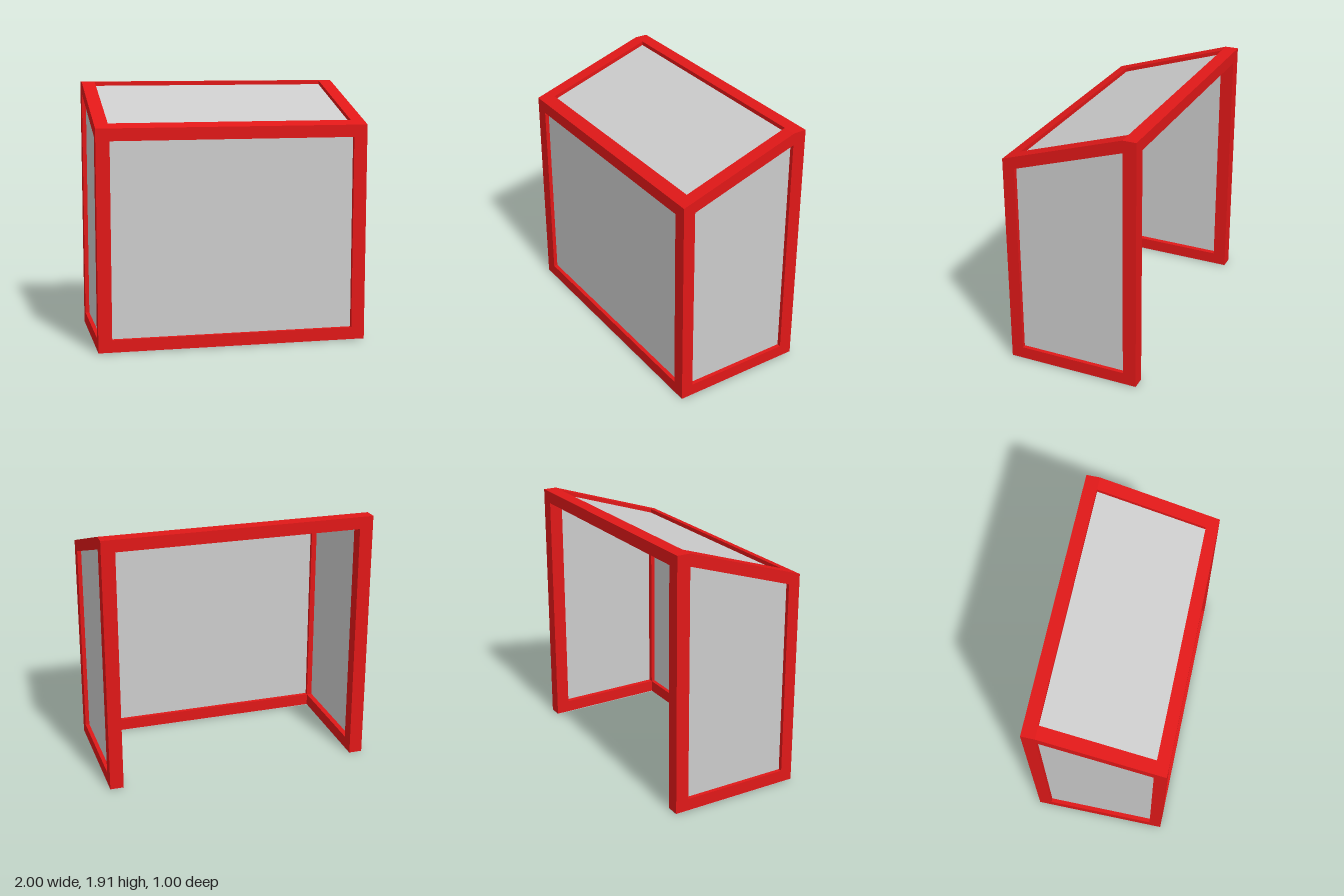
import * as THREE from 'three';

const red = new THREE.MeshStandardMaterial({ color: 0xe01818 });
const grey = new THREE.MeshStandardMaterial({ color: 0xcccccc });

// Extrudes a (z, y) outline from x0 to x1
function extrudeAcross(name, outline, x0, x1, material, hole) {
  const toPoints = (list) => list.map(([z, y]) => new THREE.Vector2(z, y));
  const shape = new THREE.Shape(toPoints(outline));
  if (hole) shape.holes.push(new THREE.Path(toPoints(hole)));
  const geometry = new THREE.ExtrudeGeometry(shape, { depth: x1 - x0, bevelEnabled: false });
  geometry.rotateY(-Math.PI / 2).translate(x1, 0, 0);
  const mesh = new THREE.Mesh(geometry, material);
  mesh.name = name;
  return mesh;
}

export function createModel() {
  const group = new THREE.Group();
  group.name = 'shelter';

  const inner = 0.9;            // inside face of the side frames
  const front = 0.5, back = -0.5;
  const railFront = 0.41, railBack = -0.4;
  const sole = 0.004;           // thin grey underside
  const sill = 0.095, beam = 0.09;
  const recess = 0.03, glass = 0.03;
  const roofY = (z) => 1.615 + (front - z) * (1.91 - 1.615) / (front - railBack);

  // Side frames with sloping tops, their panels and undersides
  const frame = [[back, sole], [front, sole], [front, roofY(front)], [railBack, 1.91], [back, 1.91]];
  const opening = [
    [railBack, sill], [railFront, sill],
    [railFront, roofY(railFront) - beam], [railBack, roofY(railBack) - beam],
  ];
  const foot = [[back, 0], [front, 0], [front, sole], [back, sole]];
  for (const [side, sign] of [['left', 1], ['right', -1]]) {
    const add = (name, outline, a, b, material, hole) => group.add(extrudeAcross(
      side + name, outline, Math.min(a * sign, b * sign), Math.max(a * sign, b * sign), material, hole));
    add('SideFrame', frame, inner, 1, red, opening);
    add('SidePanel', opening, 1 - recess - glass, 1 - recess, grey);
    add('Underside', foot, inner, 1, grey);
  }

  // Cross rails between the side frames
  const rails = {
    frontBottomRail: [[railFront, sole], [front, sole], [front, sill], [railFront, sill]],
    frontTopRail: [
      [railFront, roofY(railFront) - beam], [front, roofY(front) - beam],
      [front, roofY(front)], [railFront, roofY(railFront)],
    ],
    backTopRail: [[back, 1.91 - beam], [railBack, 1.91 - beam], [railBack, 1.91], [back, 1.91]],
  };
  for (const [name, outline] of Object.entries(rails)) {
    group.add(extrudeAcross(name, outline, -inner, inner, red));
  }
  const frontFoot = [[railFront, 0], [front, 0], [front, sole], [railFront, sole]];
  group.add(extrudeAcross('frontUnderside', frontFoot, -inner, inner, grey));

  // Recessed front and roof panels
  const zOut = front - recess, zIn = zOut - glass;
  group.add(extrudeAcross('frontPanel', [
    [zIn, sill], [zOut, sill],
    [zOut, roofY(zOut) - beam], [zIn, roofY(zIn) - beam],
  ], -inner, inner, grey));
  const roofTop = (z) => roofY(z) - recess;
  group.add(extrudeAcross('roofPanel', [
    [railBack, roofTop(railBack) - glass], [railFront, roofTop(railFront) - glass],
    [railFront, roofTop(railFront)], [railBack, roofTop(railBack)],
  ], -inner, inner, grey));

  return group;
}
